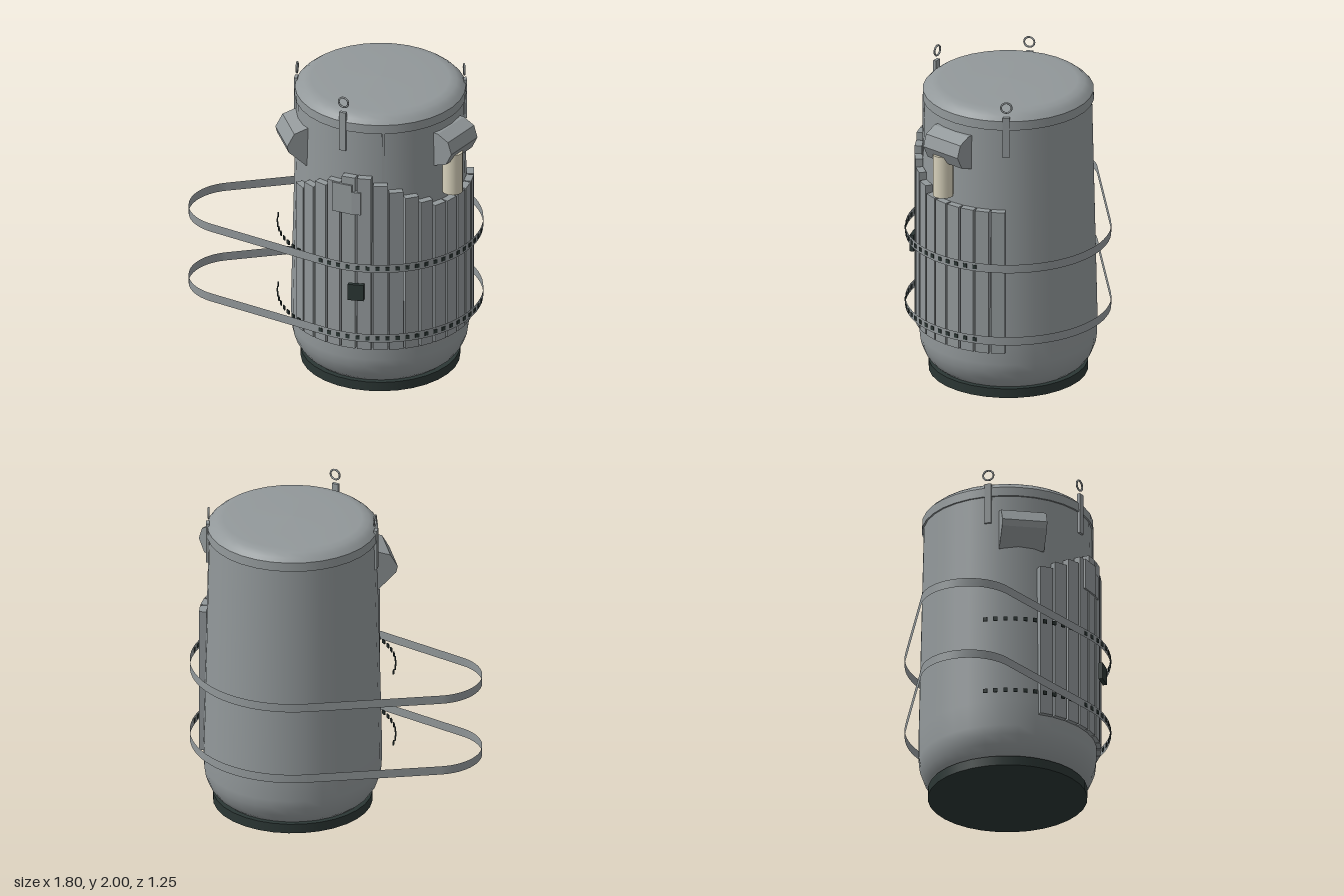
import * as THREE from 'three';

const CX = 0.27; // tank axis
const rad = THREE.MathUtils.degToRad;

export function createModel() {
  const root = new THREE.Group();
  const mat = (name, color, side = THREE.FrontSide) => {
    const m = new THREE.MeshStandardMaterial({ color, side });
    m.name = name;
    return m;
  };
  const grey = mat('steel grey', 0x92989a, THREE.DoubleSide);
  const dark = mat('dark rubber', 0x2b3634);
  const cream = mat('cream', 0xd8d2bc);

  const add = (name, geo, material, x = 0, y = 0, z = 0) => {
    const m = new THREE.Mesh(geo, material);
    m.name = name;
    m.position.set(x, y, z);
    root.add(m);
    return m;
  };
  // Put a part at an angle round the tank (0 = +x, 90 = front), local +z pointing outward
  const around = (name, geo, material, deg, r, y) => {
    const a = rad(deg);
    const m = add(name, geo, material, CX + r * Math.cos(a), y, r * Math.sin(a));
    m.rotation.y = Math.PI / 2 - a;
    return m;
  };
  const lathe = (name, pts, sides) =>
    add(name, new THREE.LatheGeometry(pts.map(p => new THREE.Vector2(...p)), sides), grey, CX);

  // Tank shell, lid rim and domed lid
  lathe('tankBody', [[0.45, 0.06], [0.48, 0.085], [0.51, 0.13], [0.53, 0.185], [0.538, 0.24],
    [0.54, 0.4], [0.508, 1.78]], 32);
  lathe('lidRim', [[0.5, 1.778], [0.519, 1.778]], 32);
  lathe('lidBand', [[0.519, 1.778], [0.517, 1.835]], 32);
  lathe('lid', [[0.517, 1.835], [0.495, 1.858], [0.465, 1.88], [0.42, 1.888], [0.25, 1.895], [0, 1.9]], 32);
  add('baseRing', new THREE.CylinderGeometry(0.483, 0.483, 0.06, 32), dark, CX, 0.03);

  // Staves, tallest at the front
  for (let deg = -10; deg <= 140; deg += 10) {
    const top = Math.max(1.255, 1.49 - 0.0465 * (Math.abs(deg - 95) - 5) / 10);
    const h = top - 0.325;
    around('stave', new THREE.BoxGeometry(0.085, h, 0.045), grey, deg, 0.5425, 0.325 + h / 2);
  }
  around('stavePatch', new THREE.BoxGeometry(0.13, 0.195, 0.03), grey, 104, 0.56, 1.343);
  around('stavePatchSide', new THREE.BoxGeometry(0.06, 0.15, 0.03), grey, 95, 0.56, 1.32);
  around('seamStrip', new THREE.BoxGeometry(0.018, 0.45, 0.012), grey, 78, 0.512, 1.555);

  // Open strap: large arc round the tank, straight runs, small arc at the far end
  const R = 0.622, r = 0.29, farX = -0.612;
  const tangent = Math.PI - Math.acos((R - r) / (CX - farX));
  const path = [];
  const arc = (cx, radius, from, to, n) => {
    for (let i = 0; i <= n; i++) {
      const a = from + (to - from) * i / n;
      path.push([cx + radius * Math.cos(a), radius * Math.sin(a)]);
    }
  };
  arc(CX, R, -tangent, tangent, 48);
  arc(farX, r, tangent, 2 * Math.PI - tangent, 24);
  path.push(path[0]);
  const strapGeometry = height => {
    const pos = [], idx = [];
    path.forEach(([x, z], i) => {
      pos.push(x, -height / 2, z, x, height / 2, z);
      if (i) {
        const b = 2 * i - 2;
        idx.push(b, b + 1, b + 2, b + 1, b + 3, b + 2);
      }
    });
    const g = new THREE.BufferGeometry();
    g.setAttribute('position', new THREE.Float32BufferAttribute(pos, 3));
    g.setIndex(idx);
    g.computeVertexNormals();
    return g;
  };
  const strap = strapGeometry(0.055);
  const stud = new THREE.BoxGeometry(0.025, 0.025, 0.008);
  for (const y of [0.91, 0.434]) {
    add('strap', strap, grey, 0, y, 0);
    for (let i = 0; i < 32; i++) around('strapStud', stud, dark, (i + 0.5) * 180 / 32, R, y);
  }
  add('buckle', new THREE.BoxGeometry(0.097, 0.107, 0.025), dark, 0.228, 0.737, 0.607);

  // Shoulder housings: radial profile (radius, height) extruded sideways
  const housing = (name, pts, deg) => {
    const shape = new THREE.Shape(pts.map(p => new THREE.Vector2(...p)));
    const g = new THREE.ExtrudeGeometry(shape, { depth: 0.275, bevelEnabled: false });
    g.translate(0, 0, -0.1375).rotateY(-Math.PI / 2);
    around(name, g, grey, deg, 0, 0);
  };
  housing('leftHousing', [[0.47, 1.49], [0.58, 1.53], [0.62, 1.61], [0.595, 1.685], [0.52, 1.72], [0.47, 1.72]], 25);
  housing('rightHousing', [[0.46, 1.42], [0.5, 1.425], [0.61, 1.53], [0.62, 1.57], [0.575, 1.65], [0.46, 1.69]], 155);
  add('canister', new THREE.CylinderGeometry(0.062, 0.062, 0.27, 24), cream, 0.76, 1.437, 0.267);

  // Lifting eyes on flat stems
  const ring = new THREE.TorusGeometry(0.032, 0.006, 8, 20);
  const stem = new THREE.BoxGeometry(0.042, 0.26, 0.02);
  for (const [deg, lift] of [[106, 0.04], [-15, 0], [178, 0]]) {
    around('eyeStem', stem, grey, deg, 0.514, 1.73 + lift);
    around('liftingEye', ring, grey, deg, 0.508, 1.922 + lift);
  }
  return root;
}
